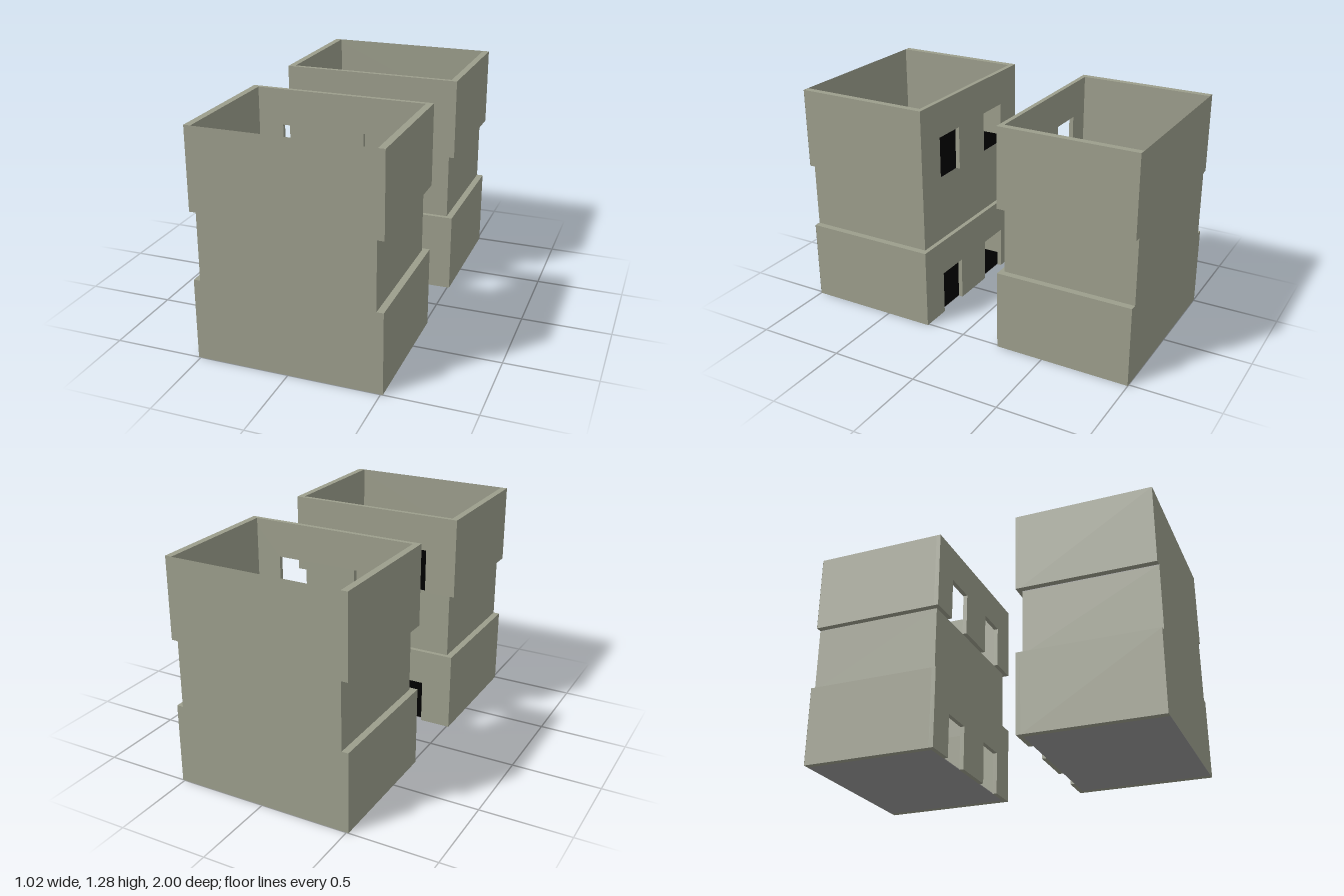
import * as THREE from 'three';

const OUT_X = 0.512, IN_X = 0.475;              // outer and inner half widths
const BACK = 1, IN_Z = 0.253, OUT_Z = 0.228;    // depth of flat wall, inner and outer passage wall
const LOW = 0.454, MID = 0.83, TOP = 1.281;     // storey levels

export function createModel() {
  const wall = new THREE.MeshStandardMaterial({ color: 0x9c9e8c, side: THREE.DoubleSide });
  wall.name = 'olive wall';
  const black = new THREE.MeshStandardMaterial({ color: 0x000000 });
  black.name = 'black floor';
  const grey = new THREE.MeshStandardMaterial({ color: 0x979797 });
  grey.name = 'grey underside';

  const add = (parent, name, geometry, material, x = 0, y = 0, z = 0) => {
    const mesh = new THREE.Mesh(geometry, material);
    mesh.name = name;
    mesh.position.set(x, y, z);
    parent.add(mesh);
    return mesh;
  };
  const outline = (pts) => new THREE.Shape(pts.map(([x, y]) => new THREE.Vector2(x, y)));

  // Storey with thick side walls and a passage wall pierced by two doorways
  function storey(name, y, h) {
    const g = new THREE.Group();
    g.name = name;
    g.position.y = y;
    const thick = OUT_X - IN_X, depth = BACK - 0.001 - IN_Z;
    for (const s of [-1, 1]) {
      add(g, s > 0 ? 'leftWall' : 'rightWall', new THREE.BoxGeometry(thick, h, depth), wall,
        s * (OUT_X + IN_X) / 2, h / 2, IN_Z + depth / 2);
    }
    const a = 0.135, b = 0.333, d = 0.25;
    const shape = outline([
      [-OUT_X, 0], [-b, 0], [-b, d], [-a, d], [-a, 0],
      [a, 0], [a, d], [b, d], [b, 0], [OUT_X, 0], [OUT_X, h], [-OUT_X, h],
    ]);
    add(g, 'doorwayWall', new THREE.ExtrudeGeometry(shape, { depth: IN_Z - OUT_Z, bevelEnabled: false }),
      wall, 0, 0, OUT_Z);
    return g;
  }

  // Thin floor: black above, grey elsewhere
  function floor(parent, name, topY) {
    const t = 0.004, depth = BACK - 0.001 - IN_Z;
    add(parent, name, new THREE.BoxGeometry(IN_X * 2, t, depth),
      [grey, grey, black, grey, grey, grey], 0, topY - t / 2, IN_Z + depth / 2);
  }

  function block(name) {
    const g = new THREE.Group();
    g.name = name;
    g.add(storey('lowerStorey', 0, LOW), storey('upperStorey', MID, TOP - MID));
    floor(g, 'lowerFloor', 0.004);
    floor(g, 'upperFloor', MID);

    // Recessed middle band
    const h = MID - LOW, y = (MID + LOW) / 2;
    for (const s of [-1, 1]) {
      add(g, s > 0 ? 'middleLeftWall' : 'middleRightWall', new THREE.PlaneGeometry(BACK - IN_Z, h), wall,
        s * IN_X, y, (BACK + IN_Z) / 2).rotation.y = s * Math.PI / 2;
    }
    add(g, 'middlePassageWall', new THREE.PlaneGeometry(IN_X * 2, h), wall, 0, y, IN_Z).rotation.y = Math.PI;

    // Flat notched end wall
    const side = [[OUT_X, 0], [OUT_X, LOW], [IN_X, LOW], [IN_X, MID], [OUT_X, MID], [OUT_X, TOP]];
    const mirrored = side.map(([x, v]) => [-x, v]).reverse();
    add(g, 'endWall', new THREE.ShapeGeometry(outline([...side, ...mirrored])), wall, 0, 0, BACK);
    return g;
  }

  // Two identical blocks facing each other across the passage
  const model = new THREE.Group();
  model.name = 'twinBuilding';
  const front = block('frontBlock');
  const back = block('backBlock');
  back.rotation.y = Math.PI;
  model.add(front, back);
  return model;
}
